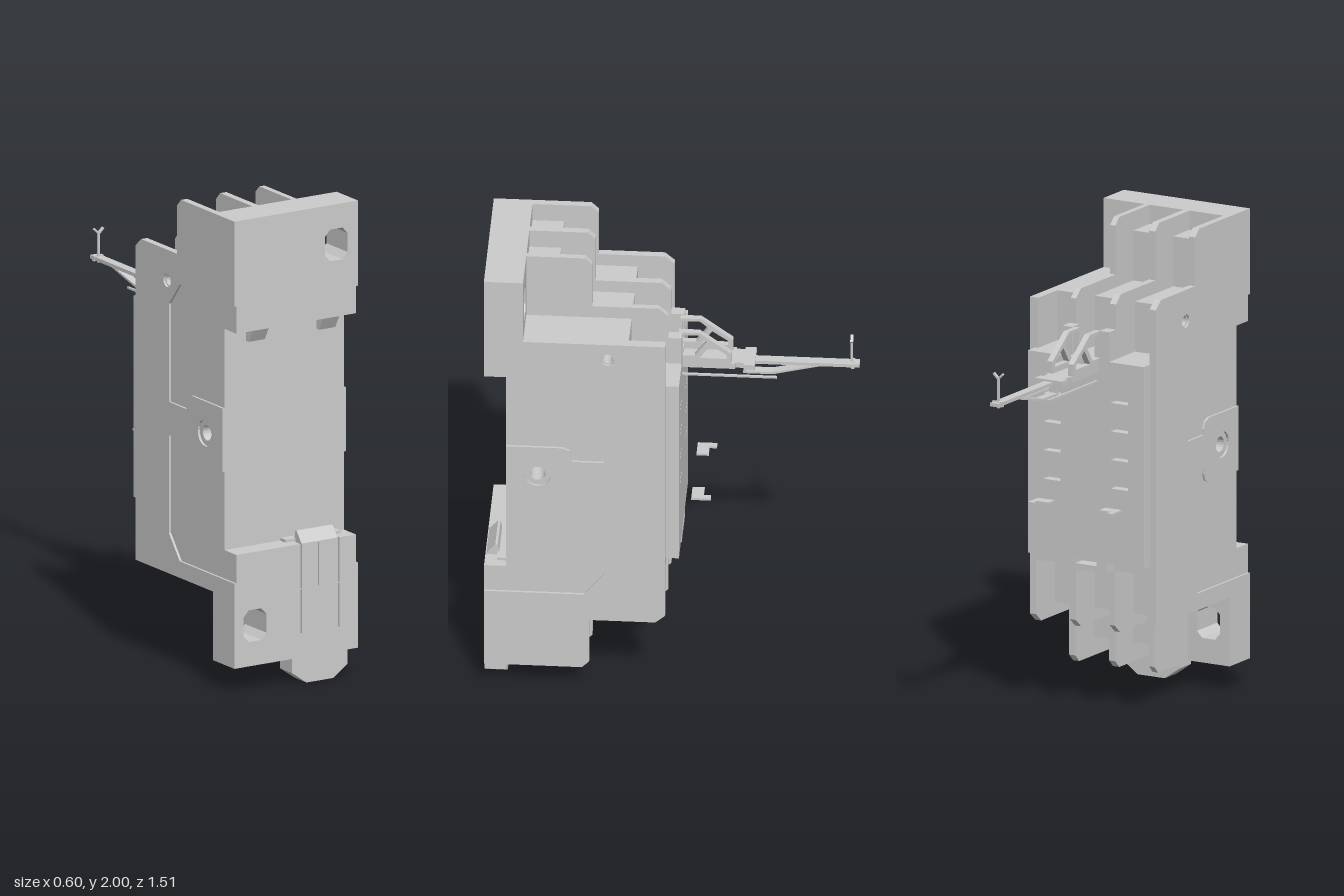
import * as THREE from 'three';

const MID = 2.11; // lower end mirrors the upper end: y -> MID - y
const mat = new THREE.MeshStandardMaterial({ color: 0xcccccc, side: THREE.DoubleSide });

function add(parent, geo, name) {
  const m = new THREE.Mesh(geo, mat);
  m.name = name;
  parent.add(m);
  return m;
}
function box(parent, name, x0, x1, y0, y1, z0, z1) {
  const g = new THREE.BoxGeometry(x1 - x0, y1 - y0, z1 - z0);
  g.translate((x0 + x1) / 2, (y0 + y1) / 2, (z0 + z1) / 2);
  return add(parent, g, name);
}
const toShape = (pts) => new THREE.Shape(pts.map(([a, b]) => new THREE.Vector2(a, b)));
const rect = (x0, x1, y0, y1) => [[x0, y0], [x1, y0], [x1, y1], [x0, y1]];

// Side profile of (z, y) points, extruded from x0 to x1
function slice(parent, name, x0, x1, pts, holes = [], rounds = []) {
  const s = toShape(pts.map(([z, y]) => [-z, y]));
  holes.forEach((h) => s.holes.push(toShape(h.map(([z, y]) => [-z, y]))));
  rounds.forEach(([z, y, r]) => s.holes.push(new THREE.Path().absarc(-z, y, r, 0, Math.PI * 2, true)));
  const g = new THREE.ExtrudeGeometry(s, { depth: x1 - x0, bevelEnabled: false, curveSegments: 10 });
  g.rotateY(Math.PI / 2).translate(x0, 0, 0);
  return add(parent, g, name);
}
// Front outline of (x, y) points, extruded from z0 to z1
function panel(parent, name, z0, z1, pts, holes = []) {
  const s = toShape(pts);
  holes.forEach((h) => s.holes.push(toShape(h)));
  const g = new THREE.ExtrudeGeometry(s, { depth: z1 - z0, bevelEnabled: false });
  g.translate(0, 0, z0);
  return add(parent, g, name);
}

// Upper end profiles behind the front slab, from front to back
const ENDS = {
  wall: [[0.6, 1.71], [0.6, 2], [0.36, 2], [0.33, 1.97], [0.33, 1.765], [0.06, 1.765], [0.02, 1.73]],
  step: [[0.6, 1.71], [0.6, 1.92], [0.47, 1.92], [0.47, 1.71], [0.17, 1.71], [0.17, 1.5], [0.02, 1.5]],
  flat: [[0.17, 1.71], [0.17, 1.5], [0.02, 1.5]],
  open: [[0.02, 1.71]],
};
function endAt(x) {
  if (x < -0.27) return ENDS.wall;
  if (x < -0.11) return ENDS.step;
  if (x < -0.08) return ENDS.wall;
  if (x < 0.08) return ENDS.step;
  if (x < 0.105) return ENDS.wall;
  return x < 0.26 ? ENDS.flat : ENDS.open;
}

// Front edge of a slice, bottom to top
const frontEdge = [[0.76, 0.4], [0.76, 0.59], [0.67, 0.59], [0.67, 1.525], [0.76, 1.525], [0.76, 1.71]];
const grooveEdge = [[0.7, 0.4], [0.7, 0.59], ...frontEdge.slice(2)];
// Outer skin: recessed panels above and below the boss around the rivet hole
const upperSkin = [[0.67, 1.19], [0.44, 1.19], [0.41, 1.178], [0.4, 1.15], [0.4, 1.125], [0.27, 1.125],
  [0.27, 1.54], [0.35, 1.64], [0.76, 1.64], [0.76, 1.71]];
const flip = (pts) => pts.map(([z, y]) => [z, MID - y]).reverse();
const skinEdge = [...flip(upperSkin), ...upperSkin];

function buildBody(root) {
  const body = new THREE.Group();
  body.name = 'housing';
  root.add(body);
  const cuts = [-0.3, -0.29, -0.27, -0.26, -0.11, -0.105, -0.08, 0.02, 0.028, 0.08, 0.105, 0.11,
    0.203, 0.21, 0.26, 0.27, 0.29, 0.3];
  for (let i = 0; i < cuts.length - 1; i++) {
    const x0 = cuts[i], x1 = cuts[i + 1], x = (x0 + x1) / 2;
    const skin = Math.abs(x) > 0.29;
    const groove = x1 - x0 < 0.0085 && x > 0;
    const edge = skin ? skinEdge : groove ? grooveEdge : frontEdge;
    const pts = [...edge, ...endAt(x), ...flip(endAt(-x))];
    slice(body, 'housingSlice', x0, x1, pts, [], [[0.255, 1.635, skin ? 0.028 : 0.022], [0.54, 1.055, skin ? 0.055 : 0.032]]);
  }
  // Front slabs with the mounting slots
  const slot = (cx, cy) => [[-0.055, -0.04], [-0.03, -0.067], [0.03, -0.067], [0.055, -0.04],
    [0.055, 0.04], [0.03, 0.067], [-0.03, 0.067], [-0.055, 0.04]].map(([a, b]) => [cx + a, cy + b]);
  panel(body, 'upperMountingSlab', 0.6, 0.76, rect(-0.3, 0.3, 1.71, 2), [slot(0.195, 1.83)]);
  panel(body, 'lowerMountingSlab', 0.6, 0.76, rect(-0.3, 0.3, 0.11, 0.4),
    [slot(-0.2, 0.28), rect(0.02, 0.028, 0.21, 0.398), rect(0.203, 0.21, 0.21, 0.398)]);
}

function buildRailClips(root) {
  // Fixed hooks above, sprung clip with its pull tab below
  for (const x of [-0.172, 0.17])
    slice(root, 'railHook', x - 0.039, x + 0.039, [[0.76, 1.525], [0.73, 1.472], [0.71, 1.472], [0.71, 1.525]]);
  slice(root, 'railClip', 0.028, 0.203, [[0.76, 0.585], [0.72, 0.635], [0.71, 0.635], [0.7, 0.585]]);
  box(root, 'clipShoulder', -0.02, 0.25, 0.585, 0.602, 0.672, 0.71);
  panel(root, 'clipPullTab', 0.67, 0.76,
    [[-0.02, 0.12], [-0.02, 0.05], [0.05, 0], [0.18, 0], [0.25, 0.05], [0.25, 0.12]]);
}

function buildSocketPlate(root) {
  const slots = [rect(-0.05, 0.05, 0.635, 0.655)];
  for (const x of [-0.16, 0.16])
    for (let i = 0; i < 4; i++) slots.push(rect(x - 0.04, x + 0.04, 0.97 + i * 0.12, 0.982 + i * 0.12));
  const outline = [[-0.275, 0.65], [-0.1, 0.65], [-0.1, 0.61], [0.1, 0.61], [0.1, 0.65], [0.275, 0.65],
    [0.275, 1.5], [0.11, 1.5], [0.11, 1.625], [0.065, 1.625], [0.065, 1.5], [-0.065, 1.5], [-0.065, 1.625],
    [-0.11, 1.625], [-0.11, 1.5], [-0.275, 1.5]];
  panel(root, 'socketPlate', -0.035, 0.02, outline, slots);
  // Loose L-shaped contact blades
  for (const s of [-1, 1]) {
    const g = new THREE.ExtrudeGeometry(toShape([[0.12 * s, 0.08], [0.2 * s, 0.08], [0.2 * s, 0.16],
      [0.175 * s, 0.16], [0.175 * s, 0.13], [0.12 * s, 0.13]]), { depth: 0.01, bevelEnabled: false });
    g.rotateX(-Math.PI / 2).translate(0, 0.89, 0);
    add(root, g, 'contactBlade');
  }
}

function buildLever(root) {
  const lever = new THREE.Group();
  lever.name = 'ejectorLever';
  root.add(lever);
  box(lever, 'leverBase', -0.06, 0.06, 1.45, 1.475, -0.25, 0.02);
  box(lever, 'leverNeck', -0.05, 0.05, 1.45, 1.475, -0.29, -0.25);
  box(lever, 'leverHead', -0.065, 0.065, 1.45, 1.475, -0.33, -0.285);
  box(lever, 'leverArm', -0.02, 0.02, 1.452, 1.467, -0.755, -0.33);
  box(lever, 'armCollar', -0.024, 0.024, 1.448, 1.47, -0.735, -0.72);
  box(lever, 'armPost', -0.02, 0.02, 1.405, 1.475, -0.29, -0.283);
  // Truss cheeks
  for (const x of [-0.05, 0.05])
    slice(lever, 'leverTruss', x - 0.013, x + 0.013,
      [[-0.02, 1.475], [-0.02, 1.623], [-0.105, 1.623], [-0.235, 1.525], [-0.235, 1.475]],
      [[[-0.026, 1.51], [-0.026, 1.61], [-0.1, 1.61], [-0.135, 1.58], [-0.085, 1.51]],
        [[-0.105, 1.5], [-0.15, 1.565], [-0.215, 1.52], [-0.215, 1.5]]]);
  // Spring wires and the stay beneath the arm
  for (const x of [-0.053, 0.053]) box(lever, 'springWire', x - 0.005, x + 0.005, 1.408, 1.416, -0.42, -0.03);
  slice(lever, 'armStay', -0.018, 0.018,
    [[-0.28, 1.402], [-0.4, 1.402], [-0.6, 1.452], [-0.58, 1.455], [-0.4, 1.412], [-0.28, 1.412]]);
  // Forked pin at the tip
  box(lever, 'tipPin', -0.005, 0.005, 1.44, 1.565, -0.727, -0.717);
  for (const s of [-1, 1]) {
    const prong = add(lever, new THREE.BoxGeometry(0.008, 0.034, 0.012), 'tipProng');
    prong.position.set(0.01 * s, 1.573, -0.722);
    prong.rotation.z = -0.8 * s;
  }
}

export function createModel() {
  const root = new THREE.Group();
  root.name = 'relaySocket';
  buildBody(root);
  buildRailClips(root);
  buildSocketPlate(root);
  buildLever(root);
  return root;
}
